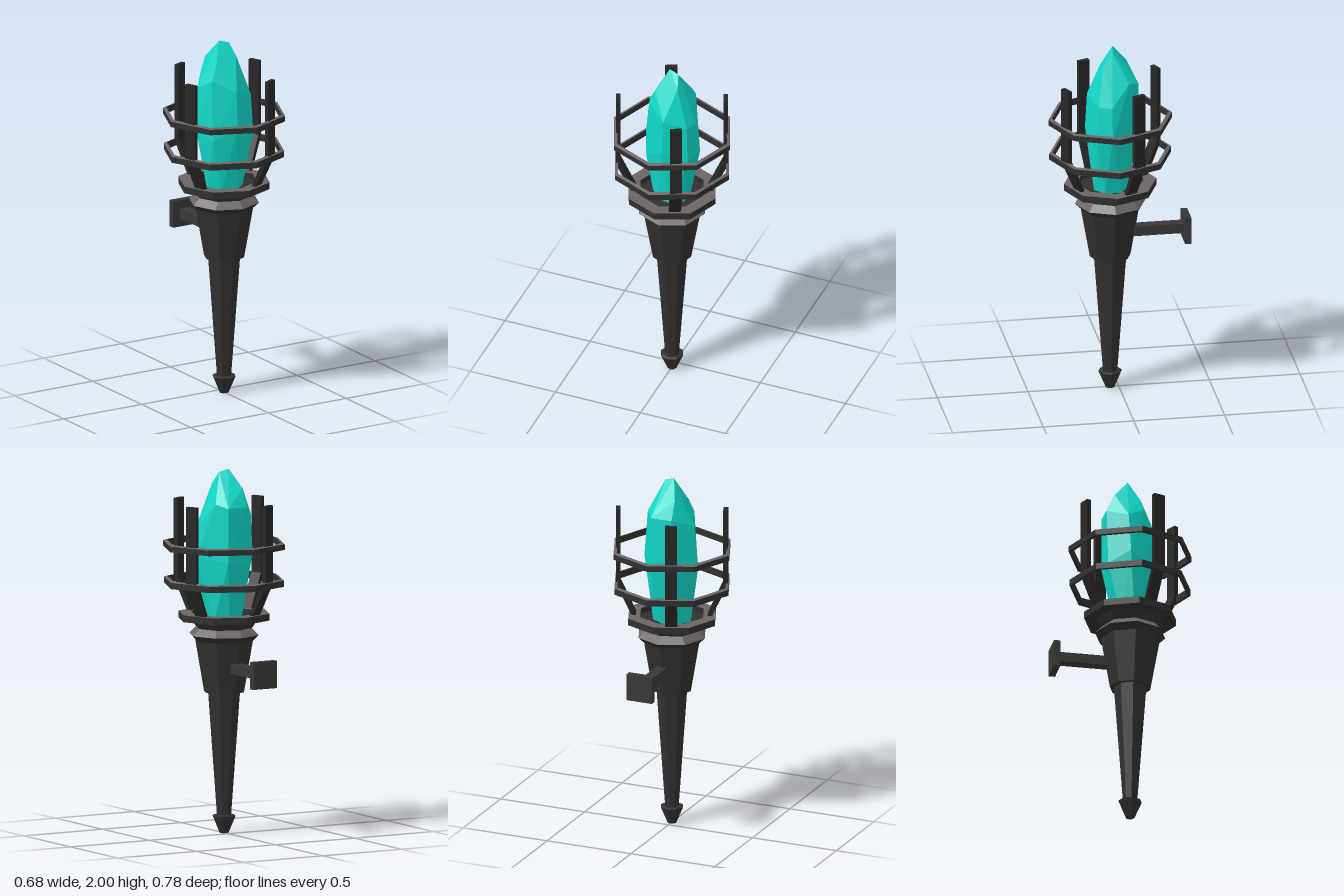
import * as THREE from 'three';
import { ConvexGeometry } from 'three/addons/geometries/ConvexGeometry.js';

const AXIS_Z = 0.047; // the torch axis sits in front of the wall plate

function material(name, color, side = THREE.FrontSide) {
  const m = new THREE.MeshStandardMaterial({ color, flatShading: true, side });
  m.name = name;
  return m;
}

export function createModel() {
  const iron = material('dark iron', 0x303030);
  const barIron = material('black iron', 0x272727);
  const bracketIron = material('bracket iron', 0x383838);
  const worn = material('worn iron', 0x6b6464);
  const gem = material('turquoise crystal', 0x10d8c8);

  const model = new THREE.Group();
  model.name = 'wallTorch';
  const torch = new THREE.Group();
  torch.name = 'torch';
  torch.position.z = AXIS_Z;
  model.add(torch);

  const add = (name, geometry, mat, parent = torch) => {
    const mesh = new THREE.Mesh(geometry, mat);
    mesh.name = name;
    parent.add(mesh);
    return mesh;
  };
  // Eight-sided turned part; profile is [radius, height], outside going up
  const turned = (name, profile, mat) =>
    add(name, new THREE.LatheGeometry(profile.map(([r, y]) => new THREE.Vector2(r, y)), 8), mat);

  // Handle: pointed foot, tapered shaft, wider head
  turned('foot', [[0, 0], [0.025, 0], [0.065, 0.095], [0.055, 0.1], [0, 0.1]], iron);
  turned('shaft', [[0.04, 0.1], [0.09, 0.78]], iron);
  turned('head', [[0, 0.775], [0.112, 0.775], [0.162, 1.06], [0.195, 1.092]], iron);
  turned('collarBevel', [[0.195, 1.092], [0.157, 1.13]], worn);
  turned('neck', [[0.157, 1.13], [0.19, 1.178], [0, 1.178]], iron);

  // Band with dark sides and a worn upper face
  const band = (name, inner, outer, y0, yOuter, yInner) => {
    turned(name, [[inner, yInner], [inner, y0], [outer, y0], [outer, yOuter]], iron);
    turned(name + 'Top', [[outer, yOuter], [inner, yInner]], worn);
  };
  band('flange', 0.185, 0.255, 1.174, 1.212, 1.212);
  band('lowerRing', 0.318, 0.336, 1.362, 1.396, 1.402);
  band('upperRing', 0.322, 0.341, 1.565, 1.596, 1.602);

  // Cage bars: flat strips that lean out, then stand upright
  const barShape = new THREE.Shape([
    [0.185, 1.19], [0.21, 1.19], [0.305, 1.39], [0.305, 1.82], [0.28, 1.82], [0.28, 1.4],
  ].map(([x, y]) => new THREE.Vector2(x, y)));
  const barGeometry = new THREE.ExtrudeGeometry(barShape, { depth: 0.066, bevelEnabled: false });
  barGeometry.translate(0, 0, -0.033);
  for (const degrees of [-23, 63.5, 159.5, -113]) {
    add('cageBar', barGeometry, barIron).rotation.y = -THREE.MathUtils.degToRad(degrees);
  }

  // Crystal: convex hull of a few irregular rings and a point
  const crystalPoints = [
    // base
    [-0.11, 1.17, 0.05], [-0.06, 1.17, 0.12], [0.03, 1.17, 0.14], [0.09, 1.17, 0.09],
    [0.09, 1.17, 0], [0.02, 1.17, -0.04], [-0.07, 1.17, -0.02],
    // waist
    [-0.165, 1.53, 0.02], [-0.12, 1.46, 0.125], [0, 1.54, 0.186], [0.13, 1.48, 0.14],
    [0.17, 1.52, 0.06], [0.06, 1.5, -0.1], [-0.08, 1.48, -0.09],
    // shoulder
    [-0.147, 1.75, 0.01], [-0.11, 1.8, 0.1], [0, 1.74, 0.175], [0.12, 1.7, 0.13],
    [0.15, 1.7, 0.06], [0.105, 1.82, -0.04], [0.06, 1.8, -0.1], [-0.06, 1.8, -0.095],
    // tip
    [-0.02, 2, 0.03], [0.035, 1.985, 0.04], [0.05, 1.92, 0.09], [-0.08, 1.87, 0.09], [-0.06, 1.9, -0.05],
  ].map((p) => new THREE.Vector3(...p));
  add('crystal', new ConvexGeometry(crystalPoints), gem, model);

  // Wall bracket: arm and mounting plate
  const arm = add('bracketArm', new THREE.BoxGeometry(0.06, 0.055, 0.32), bracketIron, model);
  arm.position.set(0, 0.917, -0.2);
  const plate = add('wallPlate', new THREE.BoxGeometry(0.15, 0.15, 0.036), bracketIron, model);
  plate.position.set(0, 0.917, -0.372);

  return model;
}
